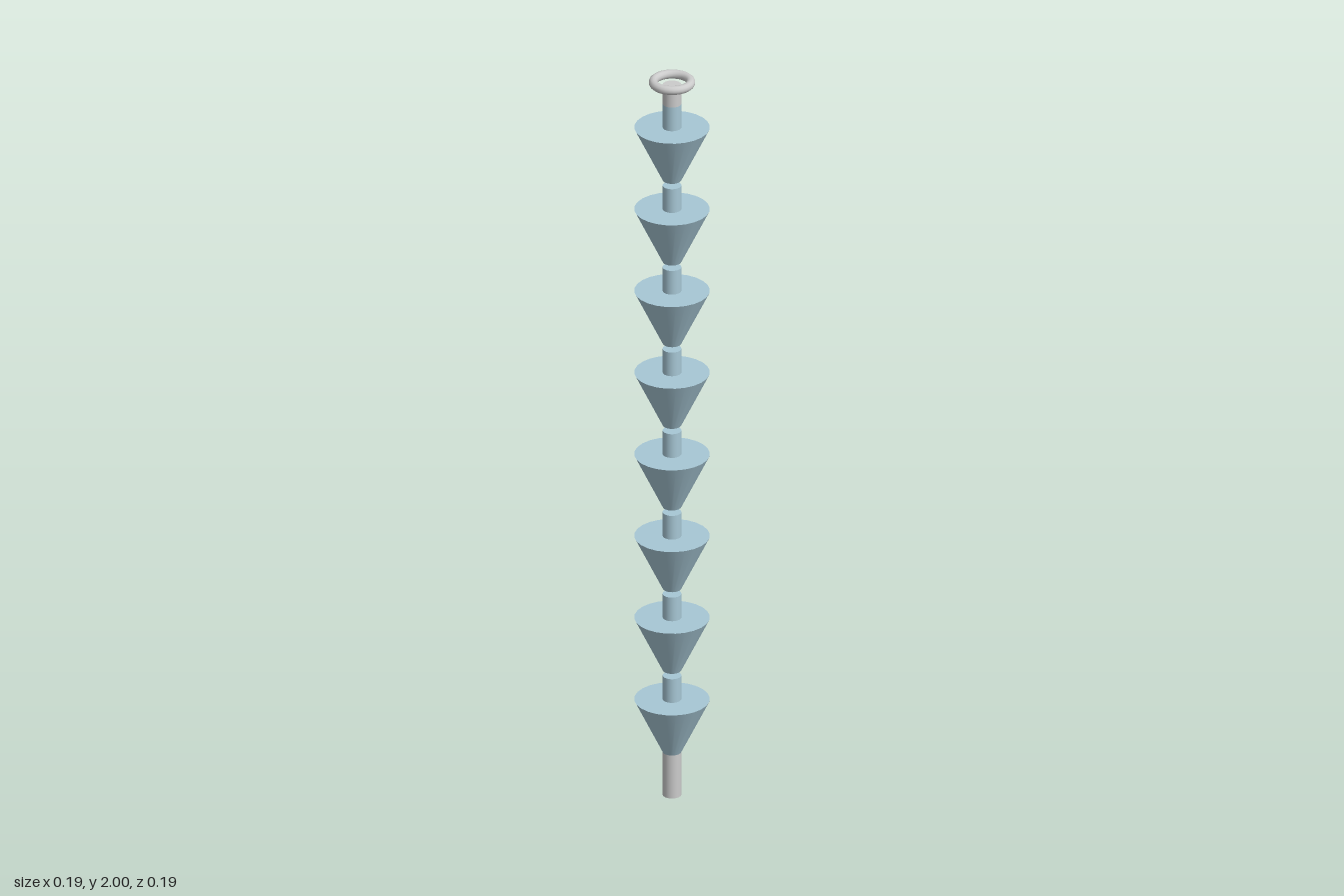
import * as THREE from 'three';

const STEM_R = 0.0235, CONE_R = 0.095, SIDES = 24;
const CONE_H = 0.147, STEM_H = 0.066, PITCH = 0.228, COUNT = 8, BASE_H = 0.12;

export function createModel() {
  const model = new THREE.Group();
  const grey = new THREE.MeshStandardMaterial({ color: 0xcccccc });
  const blue = new THREE.MeshStandardMaterial({ color: 0xa7c7d5 });

  // Adds a capped round section standing on height y
  function section(parent, name, material, rTop, rBottom, height, y) {
    const mesh = new THREE.Mesh(new THREE.CylinderGeometry(rTop, rBottom, height, SIDES), material);
    mesh.name = name;
    mesh.position.y = y + height / 2;
    parent.add(mesh);
  }

  // Bottom rod
  section(model, 'bottomRod', grey, STEM_R, STEM_R, BASE_H, 0);

  // Stack of flared cones, each with a short stem and a small gap above it
  for (let i = 0; i < COUNT; i++) {
    const link = new THREE.Group();
    link.name = `link${i + 1}`;
    link.position.y = BASE_H + i * PITCH;
    section(link, 'cone', blue, CONE_R, STEM_R, CONE_H, 0);
    section(link, 'stem', blue, STEM_R, STEM_R, STEM_H, CONE_H);
    model.add(link);
  }

  // Top rod
  const topY = BASE_H + (COUNT - 1) * PITCH + CONE_H + STEM_H;
  section(model, 'topRod', grey, STEM_R, STEM_R, 1.982 - topY, topY);

  // Flat ring around the rod's end
  const ring = new THREE.Mesh(new THREE.TorusGeometry(0.047, 0.0115, 12, 32), grey);
  ring.name = 'topRing';
  ring.rotation.x = Math.PI / 2;
  ring.position.y = 2 - 0.0115;
  model.add(ring);

  return model;
}
